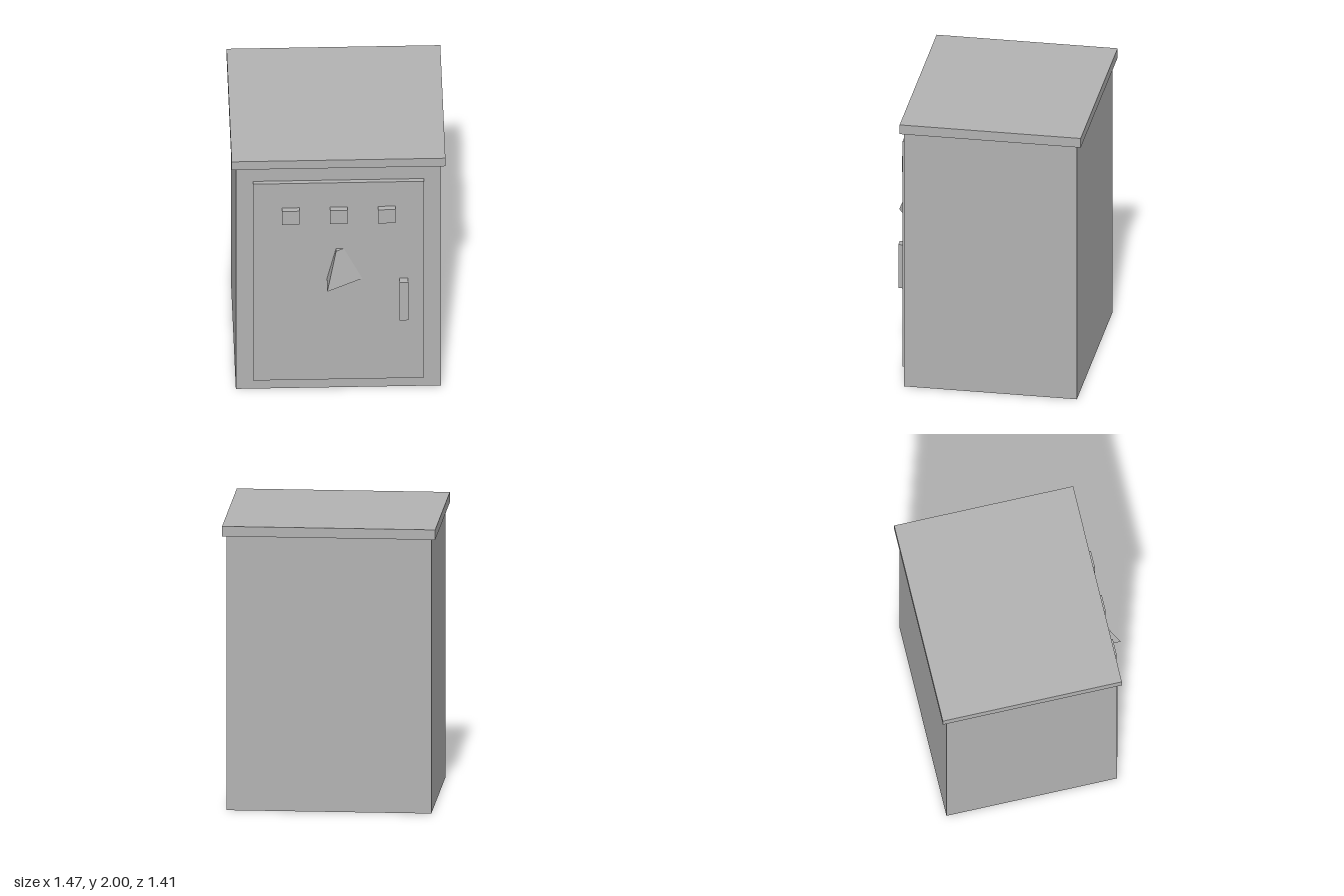
import * as THREE from 'three';

export function createModel() {
  const model = new THREE.Group();
  const grey = new THREE.MeshStandardMaterial({ color: 0xb2b2b2 });
  grey.name = 'grey metal';

  const add = (name, geometry, x, y, z) => {
    const mesh = new THREE.Mesh(geometry, grey);
    mesh.name = name;
    mesh.position.set(x, y, z);
    model.add(mesh);
  };

  // Box given by its limits on each axis
  const box = (name, [x0, x1], [y0, y1], [z0, z1]) =>
    add(name, new THREE.BoxGeometry(x1 - x0, y1 - y0, z1 - z0),
      (x0 + x1) / 2, (y0 + y1) / 2, (z0 + z1) / 2);

  // Cabinet and overhanging lid
  box('cabinet', [-0.706, 0.706], [0, 1.93], [-0.676, 0.53]);
  box('lid', [-0.735, 0.735], [1.93, 2], [-0.708, 0.556]);

  // Door with its handle
  box('door', [-0.588, 0.588], [0.094, 1.806], [0.5, 0.561]);
  box('handle', [0.419, 0.478], [0.635, 0.965], [0.55, 0.61]);

  // Row of raised square vents
  for (const x of [-0.33, 0, 0.33]) {
    box('vent', [x - 0.06, x + 0.06], [1.476, 1.594], [0.55, 0.6]);
  }

  // Three-sided warning sign, half sunk into the door
  const sign = new THREE.CylinderGeometry(0.035, 0.163, 0.265, 3, 1, false, Math.PI / 2)
    .toNonIndexed();
  sign.computeVertexNormals();
  add('warningSign', sign, 0, 1.1, 0.561);

  return model;
}
